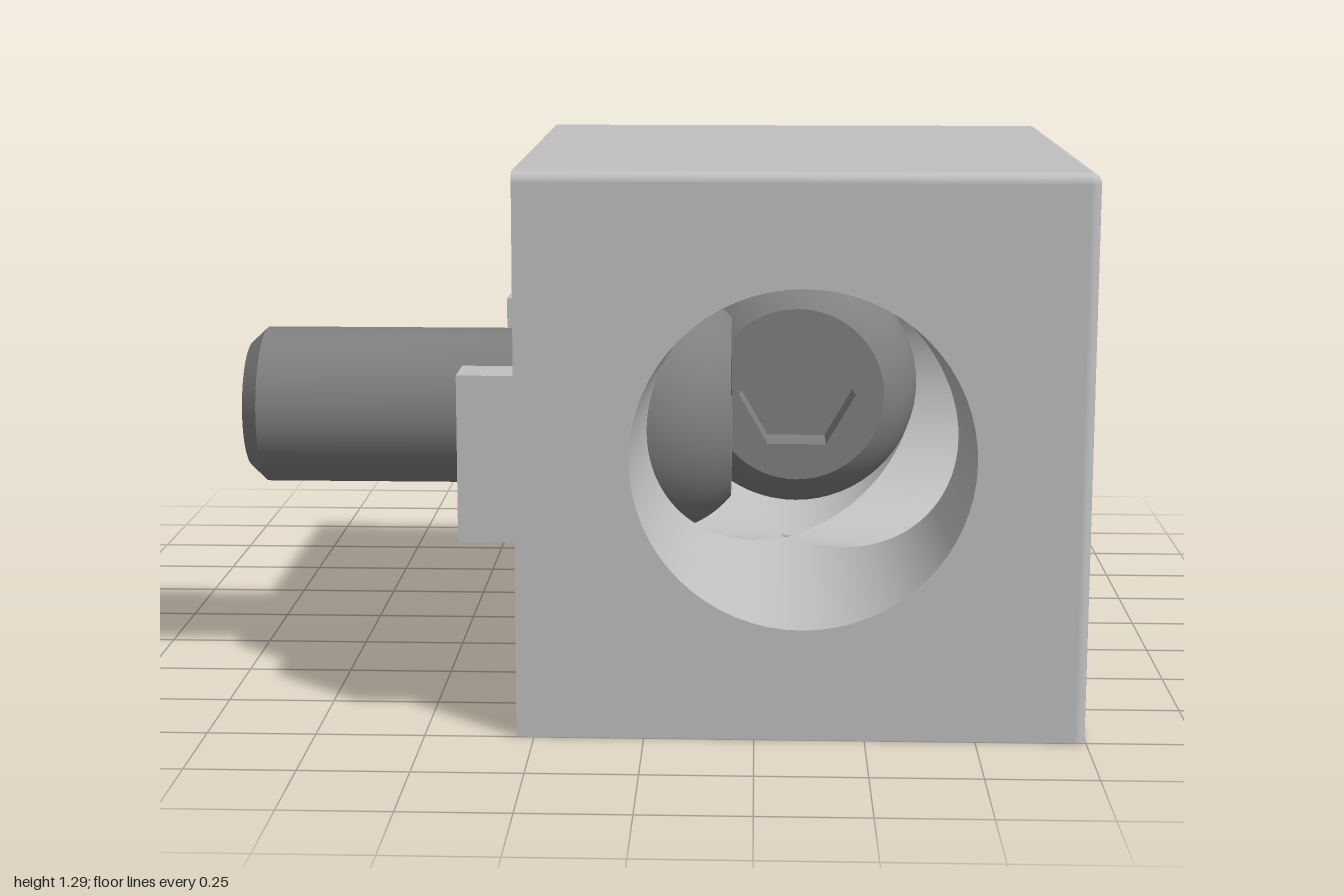
import * as THREE from 'three';
import { toCreasedNormals } from 'three/addons/utils/BufferGeometryUtils.js';

const H = 0.645;        // half side of the cube
const F = 0.025;        // edge rounding
const FLOOR = -0.365;   // depth of the counterbore floor
const R_MOUTH = 0.388, R_FLOOR = 0.31, R_HOLE = 0.225;

// Mirror across the plane x = z, keeping the faces outward
function swapXZ(geometry) {
  const g = geometry.index ? geometry.toNonIndexed() : geometry.clone();
  g.applyMatrix4(new THREE.Matrix4().set(0, 0, 1, 0, 0, 1, 0, 0, 1, 0, 0, 0, 0, 0, 0, 1));
  const index = [];
  for (let i = 0; i < g.attributes.position.count; i += 3) index.push(i, i + 2, i + 1);
  g.setIndex(index);
  return g;
}

// Square panel, either stopping short at the fillets or with one rounded corner
function panel(rounded, holeRadius) {
  const s = new THREE.Shape();
  s.moveTo(-H, -H);
  if (rounded) {
    s.lineTo(H, -H);
    s.lineTo(H, H - F);
    s.absarc(H - F, H - F, F, 0, Math.PI / 2);
  } else {
    s.lineTo(H - F, -H);
    s.lineTo(H - F, H - F);
  }
  s.lineTo(-H, rounded ? H : H - F);
  s.closePath();
  if (holeRadius) s.holes.push(new THREE.Path().absarc(0, 0, holeRadius, 0, Math.PI * 2, true));
  return new THREE.ShapeGeometry(s, 32);
}

// Tapered bore along z, trimmed where the crossing bore cuts through it
function boreWall(upper) {
  const k = (R_MOUTH - R_FLOOR) / (H - FLOOR);
  const a = R_FLOOR - k * FLOOR;
  const m = 2 * a * k / (1 + k * k);
  const n = 96, pos = [], nor = [], index = [];
  for (let i = 0; i <= n; i++) {
    const t = i / n * Math.PI * 2, c = Math.cos(t), s = Math.sin(t);
    const z1 = a * c / (1 - k * c), z2 = -(m + a * c) / (1 + k * c);
    const ends = upper ? [Math.max(z1, z2), H] : [FLOOR, Math.max(FLOOR, Math.min(z1, z2))];
    for (const z of ends) {
      const r = a + k * z;
      pos.push(r * c, r * s, z);
      nor.push(-c, -s, k);
    }
    if (i < n) {
      const b = i * 2;
      index.push(b, b + 1, b + 2, b + 2, b + 1, b + 3);
    }
  }
  const g = new THREE.BufferGeometry();
  g.setAttribute('position', new THREE.Float32BufferAttribute(pos, 3));
  g.setAttribute('normal', new THREE.Float32BufferAttribute(nor, 3));
  g.setIndex(index);
  return g;
}

// Threadless bolt: chamfered shaft, flared neck and domed head
function boltBody() {
  const points = [
    [0, -1.355], [0.155, -1.355], [0.192, -1.315], [0.192, -0.715], [0.203, -H],
    [R_HOLE, -0.52], [R_HOLE, FLOOR], [0.312, FLOOR],
  ].map(([x, y]) => new THREE.Vector2(x, y));
  const dome = new THREE.QuadraticBezierCurve(
    new THREE.Vector2(0.312, -0.34), new THREE.Vector2(0.30, -0.23), new THREE.Vector2(0.22, -0.165));
  points.push(...dome.getPoints(8));
  return toCreasedNormals(new THREE.LatheGeometry(points, 64), 0.3).rotateX(Math.PI / 2);
}

export function createModel() {
  const bodyMat = new THREE.MeshStandardMaterial({ color: 0xc0c0c0, side: THREE.DoubleSide });
  bodyMat.name = 'light grey';
  const boltMat = new THREE.MeshStandardMaterial({ color: 0x808080, side: THREE.DoubleSide });
  boltMat.name = 'dark grey';

  const model = new THREE.Group();
  model.name = 'cornerConnector';
  const body = new THREE.Group();
  body.name = 'cubeBody';
  const boltBack = new THREE.Group();
  boltBack.name = 'backBolt';
  const boltSide = new THREE.Group();
  boltSide.name = 'sideBolt';
  model.add(body, boltBack, boltSide);

  const add = (parent, name, geometry, material) => {
    const mesh = new THREE.Mesh(geometry, material);
    mesh.name = name;
    parent.add(mesh);
  };
  const addPair = (nameZ, nameX, g) => {
    add(body, nameZ, g, bodyMat);
    add(body, nameX, swapXZ(g), bodyMat);
  };

  // Cube faces
  addPair('frontFace', 'leftFace', panel(false, R_MOUTH).translate(0, 0, H));
  addPair('backFace', 'rightFace', panel(true, R_HOLE).translate(0, 0, -H));
  add(body, 'topFace', panel(false).rotateX(Math.PI / 2).translate(0, H, 0), bodyMat);
  add(body, 'bottomFace', panel(true).rotateX(Math.PI / 2).translate(0, -H, 0), bodyMat);

  // Rounded edges and corner
  const fillet = () => new THREE.CylinderGeometry(F, F, 2 * H - F, 8, 1, true, 0, Math.PI / 2);
  add(body, 'uprightFillet', fillet().translate(H - F, -F / 2, H - F), bodyMat);
  addPair('frontTopFillet', 'leftTopFillet',
    fillet().rotateZ(Math.PI / 2).translate(-F / 2, H - F, H - F));
  add(body, 'cornerFillet',
    new THREE.SphereGeometry(F, 8, 8, Math.PI / 2, Math.PI / 2, 0, Math.PI / 2)
      .translate(H - F, H - F, H - F), bodyMat);

  // Crossing counterbores and bolt holes
  addPair('frontBore', 'leftBore', boreWall(true));
  addPair('frontBoreBase', 'leftBoreBase', boreWall(false));
  addPair('frontBoreFloor', 'leftBoreFloor',
    new THREE.RingGeometry(R_HOLE, R_FLOOR, 64).translate(0, 0, FLOOR));
  addPair('backBoltHole', 'rightBoltHole',
    new THREE.CylinderGeometry(R_HOLE, R_HOLE, FLOOR + H, 64, 1, true)
      .rotateX(Math.PI / 2).translate(0, 0, (FLOOR - H) / 2));

  // Locating tabs
  const T = 0.127;
  for (const side of [-1, 1]) {
    addPair('backTab', 'rightTab', new THREE.BoxGeometry(T, 0.38, T)
      .translate(side * (H - T / 2), 0, -H - T / 2));
  }

  // Bolts with hexagonal sockets
  const top = -0.165, depth = 0.12, hexR = 0.148;
  const ring = new THREE.Shape().absarc(0, 0, 0.22, 0, Math.PI * 2);
  const hex = new THREE.Path();
  for (let i = 0; i < 6; i++) {
    const t = -i * Math.PI / 3;
    hex[i ? 'lineTo' : 'moveTo'](hexR * Math.cos(t), hexR * Math.sin(t));
  }
  hex.closePath();
  ring.holes.push(hex);
  const parts = {
    shaftAndHead: boltBody(),
    headTop: new THREE.ShapeGeometry(ring, 32).translate(0, 0, top),
    socketWall: toCreasedNormals(
      new THREE.CylinderGeometry(hexR, hexR, depth, 6, 1, true), 0.3)
      .rotateY(Math.PI / 2).rotateX(Math.PI / 2).translate(0, 0, top - depth / 2),
    socketFloor: new THREE.CircleGeometry(hexR, 6).translate(0, 0, top - depth),
  };
  for (const [name, g] of Object.entries(parts)) {
    add(boltBack, name, g, boltMat);
    add(boltSide, name, swapXZ(g), boltMat);
  }

  model.position.set(0.355, H, 0.355);
  const root = new THREE.Group();
  root.name = 'model';
  root.add(model);
  return root;
}
